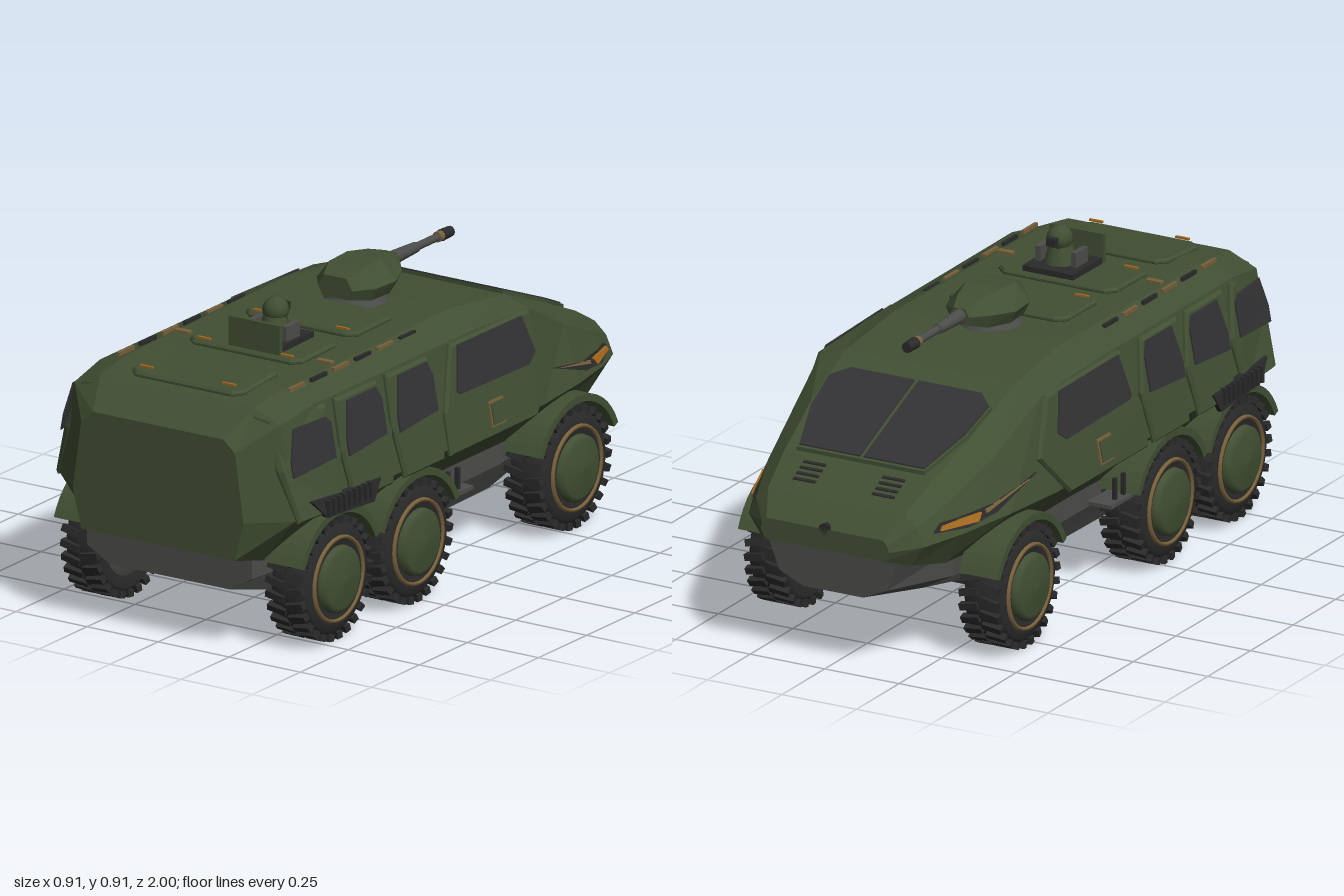
import * as THREE from 'three';
import { mergeGeometries } from 'three/addons/utils/BufferGeometryUtils.js';

const mat = (name, color) => {
  const m = new THREE.MeshStandardMaterial({ color });
  m.name = name;
  return m;
};

// Hull half sections: z, then bottom, belt, shoulder and roof-edge points (x, y)
const HULL = [
  [1.0, [[0.27, 0.3], [0.3, 0.42], [0.27, 0.63], [0.23, 0.665]]],
  [0.9, [[0.3, 0.28], [0.415, 0.42], [0.362, 0.705], [0.27, 0.745]]],
  [0.75, [[0.3, 0.28], [0.43, 0.43], [0.374, 0.73], [0.28, 0.762]]],
  [-0.1, [[0.3, 0.3], [0.43, 0.43], [0.374, 0.73], [0.28, 0.775]]],
  [-0.38, [[0.3, 0.3], [0.425, 0.43], [0.37, 0.715], [0.285, 0.742]]],
  [-0.6, [[0.3, 0.31], [0.4, 0.43], [0.345, 0.6], [0.275, 0.655]]],
  [-0.8, [[0.29, 0.32], [0.35, 0.42], [0.31, 0.52], [0.25, 0.57]]],
  [-0.93, [[0.25, 0.345], [0.295, 0.41], [0.27, 0.465], [0.23, 0.5]]],
  [-1.0, [[0.2, 0.37], [0.215, 0.4], [0.21, 0.42], [0.195, 0.435]]],
];

// Closed flat-faced solid from mirrored half sections running from +z to -z
function loft(sections) {
  const rings = sections.map(([z, half]) => [
    ...half.map(([x, y]) => [x, y, z]),
    ...half.slice().reverse().map(([x, y]) => [-x, y, z]),
  ]);
  const pos = [], n = rings[0].length;
  const tri = (...p) => p.forEach((v) => pos.push(...v));
  for (let r = 0; r < rings.length - 1; r++) {
    const a = rings[r], b = rings[r + 1];
    for (let i = 0; i < n; i++) {
      const j = (i + 1) % n;
      tri(a[i], b[i], b[j]);
      tri(a[i], b[j], a[j]);
    }
  }
  const first = rings[0], last = rings[rings.length - 1];
  for (let i = 1; i < n - 1; i++) {
    tri(first[0], first[i], first[i + 1]);
    tri(last[0], last[i + 1], last[i]);
  }
  const g = new THREE.BufferGeometry();
  g.setAttribute('position', new THREE.Float32BufferAttribute(pos, 3));
  g.computeVertexNormals();
  return g;
}

// Hull section at any z, and surface positions on its side and roof
function sectionAt(z) {
  let i = 0;
  while (i < HULL.length - 2 && HULL[i + 1][0] > z) i++;
  const [z0, a] = HULL[i], [z1, b] = HULL[i + 1];
  const t = THREE.MathUtils.clamp((z - z0) / (z1 - z0), 0, 1);
  return a.map((p, k) => [0, 1].map((c) => p[c] + (b[k][c] - p[c]) * t));
}
function sideX(y, z) {
  const s = sectionAt(z);
  if (y <= s[1][1]) return s[1][0];
  const k = y < s[2][1] ? 1 : 2;
  const t = Math.min((y - s[k][1]) / (s[k + 1][1] - s[k][1]), 1);
  return s[k][0] + (s[k + 1][0] - s[k][0]) * t;
}
const roofY = (z) => sectionAt(z)[3][1];

// Plate extruded from an outline, then laid onto the hull by a mapping rule
function plate(points, depth, bevel, map) {
  const pts = points.map(([u, v]) => new THREE.Vector2(u, v));
  if (THREE.ShapeUtils.isClockWise(pts)) pts.reverse();
  const g = new THREE.ExtrudeGeometry(new THREE.Shape(pts), {
    depth, bevelEnabled: bevel > 0, bevelSize: bevel, bevelThickness: bevel, bevelSegments: 1,
  });
  const p = g.attributes.position;
  for (let i = 0; i < p.count; i++) p.setXYZ(i, ...map(p.getX(i), p.getY(i), p.getZ(i)));
  g.computeVertexNormals();
  return g;
}
const sidePlate = (zy, offset, depth, bevel = 0) =>
  plate(zy.map(([z, y]) => [-z, y]), depth, bevel, (u, v, w) => [sideX(v, -u) + offset + w, v, -u]);
const roofPlate = (xz, offset, depth, bevel = 0) =>
  plate(xz.map(([x, z]) => [x, -z]), depth, bevel, (u, v, w) => [u, roofY(-v) + offset + w, -v]);

function flipped(geo) {
  const g = geo.index ? geo.toNonIndexed() : geo.clone();
  g.scale(-1, 1, 1);
  for (const a of [g.attributes.position, g.attributes.normal])
    for (let i = 0; i < a.count; i += 3) {
      const b = [a.getX(i + 1), a.getY(i + 1), a.getZ(i + 1)];
      a.setXYZ(i + 1, a.getX(i + 2), a.getY(i + 2), a.getZ(i + 2));
      a.setXYZ(i + 2, ...b);
    }
  return g;
}
const box = (w, h, d, x, y, z) => new THREE.BoxGeometry(w, h, d).translate(x, y, z);

export function createModel() {
  const model = new THREE.Group();
  model.name = 'armouredCarrier';
  const green = mat('olive green', 0x414f33), grey = mat('chassis grey', 0x4c4c4b);
  const rubber = mat('tyre black', 0x2a2a2a), glass = mat('dark glass', 0x333335);
  const tan = mat('worn tan', 0x77603a), orange = mat('amber', 0xa5691f);
  const add = (name, geo, m) => {
    const mesh = new THREE.Mesh(geo, m);
    mesh.name = name;
    model.add(mesh);
  };
  const pair = (name, geo, m) => {
    add(name + 'Left', geo, m);
    add(name + 'Right', flipped(geo), m);
  };

  // Hull and chassis tub
  add('hull', loft(HULL), green);
  add('chassis', loft([
    [0.94, [[0.21, 0.185], [0.29, 0.23], [0.29, 0.31]]],
    [0.72, [[0.25, 0.132], [0.29, 0.22], [0.29, 0.32]]],
    [-0.35, [[0.25, 0.15], [0.29, 0.23], [0.29, 0.33]]],
    [-0.72, [[0.17, 0.195], [0.27, 0.25], [0.28, 0.34]]],
    [-0.95, [[0.1, 0.225], [0.18, 0.26], [0.22, 0.36]]],
  ]), grey);

  // Side bays with windows
  for (const [z0, z1, top] of [[0.9, 0.7, 0.69], [0.635, 0.435, 0.708], [0.37, 0.17, 0.712]]) {
    pair('bayPanel', sidePlate([[z0 + 0.01, 0.715], [z1 + 0.01, 0.715], [z1 - 0.03, 0.57],
      [z1, 0.42], [z0 - 0.01, 0.42], [z0 + 0.015, 0.57]], 0, 0.008, 0.008), green);
    pair('bayWindow', sidePlate([[z0 - 0.03, top], [z1 + 0.02, top], [z1, 0.67],
      [z1, 0.565], [z0, 0.55], [z0, 0.6]], 0.016, 0.005), glass);
  }
  pair('doorPanel', sidePlate([[0.12, 0.54], [0.12, 0.42], [-0.32, 0.42], [-0.44, 0.55],
    [-0.36, 0.71], [0.05, 0.718]], 0, 0.008, 0.008), green);
  pair('doorWindow', sidePlate([[0.065, 0.59], [0.03, 0.72], [-0.31, 0.715], [-0.35, 0.6],
    [-0.31, 0.572], [0.05, 0.58]], 0.017, 0.005), glass);
  pair('doorLatchRim', sidePlate([[-0.08, 0.445], [-0.08, 0.52], [-0.155, 0.52], [-0.155, 0.445]], 0.014, 0.006), tan);
  pair('doorLatch', sidePlate([[-0.086, 0.451], [-0.086, 0.514], [-0.149, 0.514], [-0.149, 0.451]], 0.014, 0.01), green);

  // Slatted vents above the rear wheels
  pair('ventPlate', sidePlate([[0.84, 0.465], [0.5, 0.452], [0.54, 0.39], [0.78, 0.405]], 0.006, 0.015), rubber);
  for (let i = 0; i < 9; i++)
    pair('ventSlat', box(0.02, 0.05, 0.012, 0.447, 0.432, 0.56 + i * 0.027), rubber);

  // Nose lamps, vents, cap
  pair('lampRecess', sidePlate([[-0.46, 0.515], [-0.66, 0.475], [-0.86, 0.465], [-0.89, 0.442],
    [-0.78, 0.435], [-0.66, 0.45]], 0.002, 0.006), rubber);
  pair('lampStrip', sidePlate([[-0.5, 0.505], [-0.7, 0.468], [-0.7, 0.458]], 0.006, 0.006), tan);
  pair('lamp', sidePlate([[-0.72, 0.466], [-0.86, 0.458], [-0.87, 0.446], [-0.74, 0.444]], 0.006, 0.008), orange);
  for (let i = 0; i < 4; i++) {
    const z = -0.89 + i * 0.02;
    pair('hoodVent', roofPlate([[0.095, z], [0.17, z], [0.17, z + 0.007], [0.095, z + 0.007]], 0.002, 0.004), rubber);
  }
  add('noseCap', new THREE.CylinderGeometry(0.022, 0.022, 0.03, 8).rotateX(Math.PI / 2).translate(0, 0.43, -0.985), rubber);

  // Split windscreen on its raised surround
  add('windscreenSurround', roofPlate([[-0.225, -0.455], [0.225, -0.455], [0.275, -0.5], [0.265, -0.63], [0.215, -0.79],
    [-0.215, -0.79], [-0.265, -0.63], [-0.275, -0.5]], 0, 0.012), green);
  pair('windscreen', roofPlate([[0.006, -0.46], [0.22, -0.46], [0.268, -0.505], [0.258, -0.63], [0.21, -0.782],
    [0.006, -0.782]], 0.011, 0.005), glass);

  // Roof hatches, tie-down strips
  for (const z of [0.165, 0.455, 0.755]) {
    const c = 0.025, x = 0.192, d = 0.107;
    add('roofHatch', roofPlate([[x - c, z - d], [x, z - d + c], [x, z + d - c], [x - c, z + d],
      [c - x, z + d], [-x, z + d - c], [-x, z - d + c], [c - x, z - d]], 0.002, 0.006, 0.007), green);
    pair('hatchClip', box(0.045, 0.006, 0.008, 0.145, roofY(z) + 0.016, z + 0.09), orange);
  }
  for (let i = 0; i < 6; i++)
    pair('roofStrip', box(0.01, 0.012, 0.08, 0.3, 0.764, 0.15 + i * 0.115), i % 2 ? tan : rubber);
  pair('roofClip', box(0.05, 0.008, 0.02, 0.25, 0.772, 0.5), tan);

  // Main turret and gun
  add('turretRing', new THREE.CylinderGeometry(0.085, 0.1, 0.03, 16).translate(0, 0.783, -0.03), grey);
  add('turret', loft([
    [0.08, [[0.045, 0.805], [0.06, 0.835], [0.04, 0.87]]],
    [0.02, [[0.085, 0.795], [0.105, 0.835], [0.062, 0.89]]],
    [-0.07, [[0.09, 0.795], [0.112, 0.835], [0.058, 0.896]]],
    [-0.15, [[0.06, 0.8], [0.08, 0.842], [0.04, 0.885]]],
    [-0.21, [[0.022, 0.82], [0.032, 0.845], [0.02, 0.868]]],
  ]), green);
  const barrel = (name, r0, r1, z0, z1, m) => add(name,
    new THREE.CylinderGeometry(r1, r0, z0 - z1, 12).rotateX(-Math.PI / 2).translate(0, 0.845, (z0 + z1) / 2), m);
  barrel('gunSleeve', 0.023, 0.016, -0.19, -0.34, grey);
  barrel('gunBarrel', 0.012, 0.012, -0.33, -0.5, grey);
  barrel('muzzleBand', 0.016, 0.016, -0.45, -0.47, tan);
  barrel('muzzle', 0.018, 0.016, -0.47, -0.52, rubber);

  // Small remote weapon station
  add('stationBase', box(0.17, 0.02, 0.17, 0.03, 0.79, 0.445), rubber);
  add('stationShield', box(0.18, 0.09, 0.015, 0.035, 0.825, 0.545), green);
  add('stationBody', new THREE.CylinderGeometry(0.035, 0.055, 0.07, 8).translate(0.035, 0.825, 0.445), green);
  add('stationHead', new THREE.SphereGeometry(0.04, 10, 8).translate(0.035, 0.875, 0.44), green);
  add('stationSight', box(0.03, 0.025, 0.03, 0.035, 0.875, 0.4), rubber);
  for (const x of [-0.025, 0.095]) add('stationArm', box(0.018, 0.05, 0.07, x, 0.82, 0.45), grey);

  // Steps between the wheels
  pair('step', box(0.08, 0.012, 0.13, 0.37, 0.268, 0.03), grey);
  for (const z of [0.07, 0.02]) pair('stepBracket', box(0.012, 0.07, 0.012, 0.39, 0.305, z), rubber);

  // Wheels: tyre, tread, rim, hub and inner dish, turned about x
  const turned = (pts, z) => new THREE.LatheGeometry(pts.map(([r, x]) => new THREE.Vector2(r, x)), 32)
    .rotateZ(-Math.PI / 2).translate(0, 0.19, z);
  for (const z of [0.695, 0.28, -0.545]) {
    pair('tyre', turned([[0.11, 0.31], [0.155, 0.298], [0.172, 0.31], [0.177, 0.36], [0.172, 0.41],
      [0.155, 0.424], [0.13, 0.426]], z), rubber);
    const lugs = [];
    for (let i = 0; i < 26; i++)
      for (const s of [-1, 1])
        lugs.push(new THREE.BoxGeometry(0.062, 0.022, 0.021).rotateY(s * 0.2).translate(0.36 + s * 0.033, 0.177, 0)
          .rotateX(((i + (s > 0 ? 0.5 : 0)) / 26) * Math.PI * 2).translate(0, 0.19, z));
    pair('tread', mergeGeometries(lugs), rubber);
    pair('rimRing', turned([[0.133, 0.424], [0.13, 0.434], [0.122, 0.434], [0.119, 0.424]], z), tan);
    pair('rimDish', turned([[0.121, 0.428], [0.09, 0.422]], z), rubber);
    pair('hub', turned([[0.103, 0.42], [0.1, 0.438], [0.085, 0.448], [0, 0.456]], z), green);
    pair('innerDish', turned([[0, 0.275], [0.07, 0.285], [0.125, 0.308]], z), grey);
    add('axle', new THREE.CylinderGeometry(0.03, 0.03, 0.6, 10).rotateZ(Math.PI / 2).translate(0, 0.19, z), grey);

    // Fender arch over each wheel
    const arch = new THREE.Shape();
    arch.absarc(0, 0, 0.222, 0.4, Math.PI - 0.4, false);
    arch.absarc(0, 0, 0.2, Math.PI - 0.4, 0.4, true);
    pair('fender', new THREE.ExtrudeGeometry(arch, { depth: 0.13, bevelEnabled: false, curveSegments: 8 })
      .rotateY(Math.PI / 2).translate(0.305, 0.19, z), green);
  }
  return model;
}
